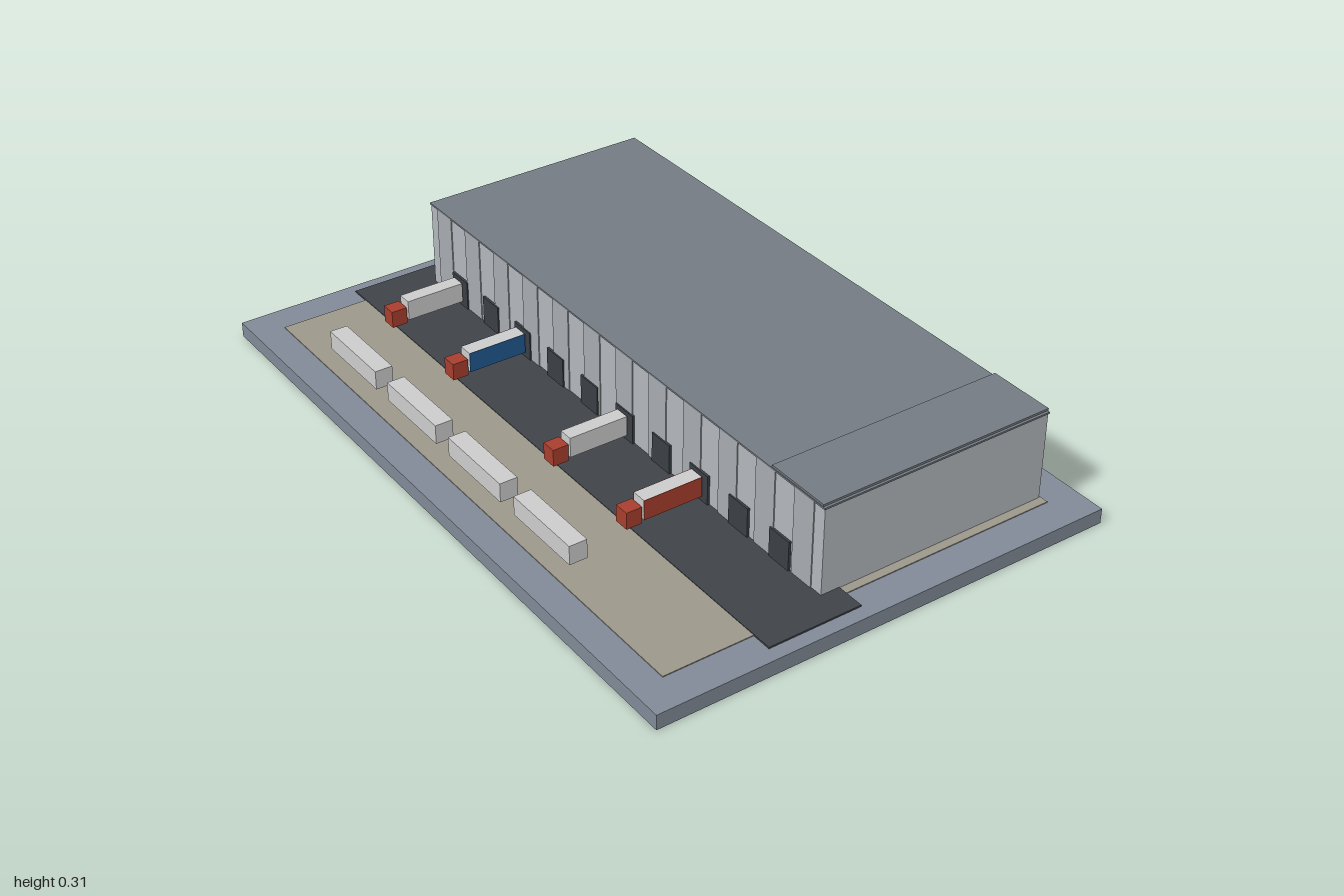
import * as THREE from 'three';

const paint = (color) => new THREE.MeshStandardMaterial({ color });

export function createModel() {
  const model = new THREE.Group();
  const mat = {
    base: paint(0x808a96), yard: paint(0x9c978a), asphalt: paint(0x3f4348),
    wall: paint(0xb2b7bb), rib: paint(0xa6abb0), roof: paint(0x747b82),
    door: paint(0x3a3e43), grey: paint(0xcccccc),
    red: paint(0xa83e2e), blue: paint(0x23598f),
  };

  // Box given by its lower and upper bounds on each axis
  function block(parent, name, material, [x0, x1], [y0, y1], [z0, z1]) {
    const mesh = new THREE.Mesh(new THREE.BoxGeometry(x1 - x0, y1 - y0, z1 - z0), material);
    mesh.position.set((x0 + x1) / 2, (y0 + y1) / 2, (z0 + z1) / 2);
    mesh.name = name;
    parent.add(mesh);
    return mesh;
  }

  // Ground layers
  block(model, 'basePlate', mat.base, [-0.67, 0.67], [0, 0.043], [-1, 1]);
  block(model, 'yard', mat.yard, [-0.585, 0.578], [0.042, 0.0455], [-0.908, 0.903]);
  block(model, 'asphaltApron', mat.asphalt, [-0.33, -0.06], [0.042, 0.0475], [-0.966, 0.96]);

  // Warehouse hall with its roof and the raised plate at the front end
  const hall = new THREE.Group();
  hall.name = 'warehouse';
  model.add(hall);
  block(hall, 'walls', mat.wall, [-0.115, 0.573], [0.043, 0.295], [-0.886, 0.878]);
  block(hall, 'roof', mat.roof, [-0.118, 0.576], [0.295, 0.3], [-0.888, 0.88]);
  block(hall, 'raisedRoof', mat.roof, [-0.116, 0.578], [0.299, 0.306], [0.68, 0.873]);

  // Cladding panels on both long walls
  const panels = 12, pitch = 1.764 / panels;
  for (let i = 0; i < panels; i++) {
    const z = -0.886 + pitch * (i + 0.5);
    const span = [z - pitch / 4, z + pitch / 4];
    block(hall, 'wallPanelLeft', mat.rib, [0.572, 0.576], [0.043, 0.295], span);
    block(hall, 'wallPanelRight', mat.rib, [-0.118, -0.114], [0.043, 0.295], span);
  }

  // Row of loading dock doors
  const doorPitch = 0.162, firstDoor = -0.735;
  for (let i = 0; i < 10; i++) {
    const z = firstDoor + doorPitch * i;
    block(hall, 'dockDoor', mat.door, [-0.122, -0.113], [0.045, 0.132], [z - 0.038, z + 0.038]);
  }

  // Docked trucks: trailer, coloured side panels and cab
  function truck(z, livery) {
    const group = new THREE.Group();
    group.name = 'truck';
    group.position.z = z;
    model.add(group);
    block(group, 'trailer', mat.grey, [-0.3, -0.127], [0.067, 0.125], [-0.021, 0.021]);
    if (livery) {
      for (const s of [-1, 1]) {
        const side = block(group, 'trailerSide', livery, [-0.3, -0.127], [0.067, 0.125], [-0.001, 0.001]);
        side.position.z = s * 0.0215;
      }
    }
    block(group, 'cab', mat.red, [-0.352, -0.306], [0.06, 0.109], [-0.022, 0.022]);
  }
  [[0, null], [2, mat.blue], [5, null], [7, mat.red]].forEach(
    ([door, livery]) => truck(firstDoor + doorPitch * door, livery));

  // Parked trailers along the yard edge
  for (let i = 0; i < 4; i++) {
    const z = -0.581 + 0.3085 * i;
    block(model, 'parkedTrailer', mat.grey, [-0.547, -0.496], [0.067, 0.122], [z - 0.123, z + 0.123]);
  }

  return model;
}
